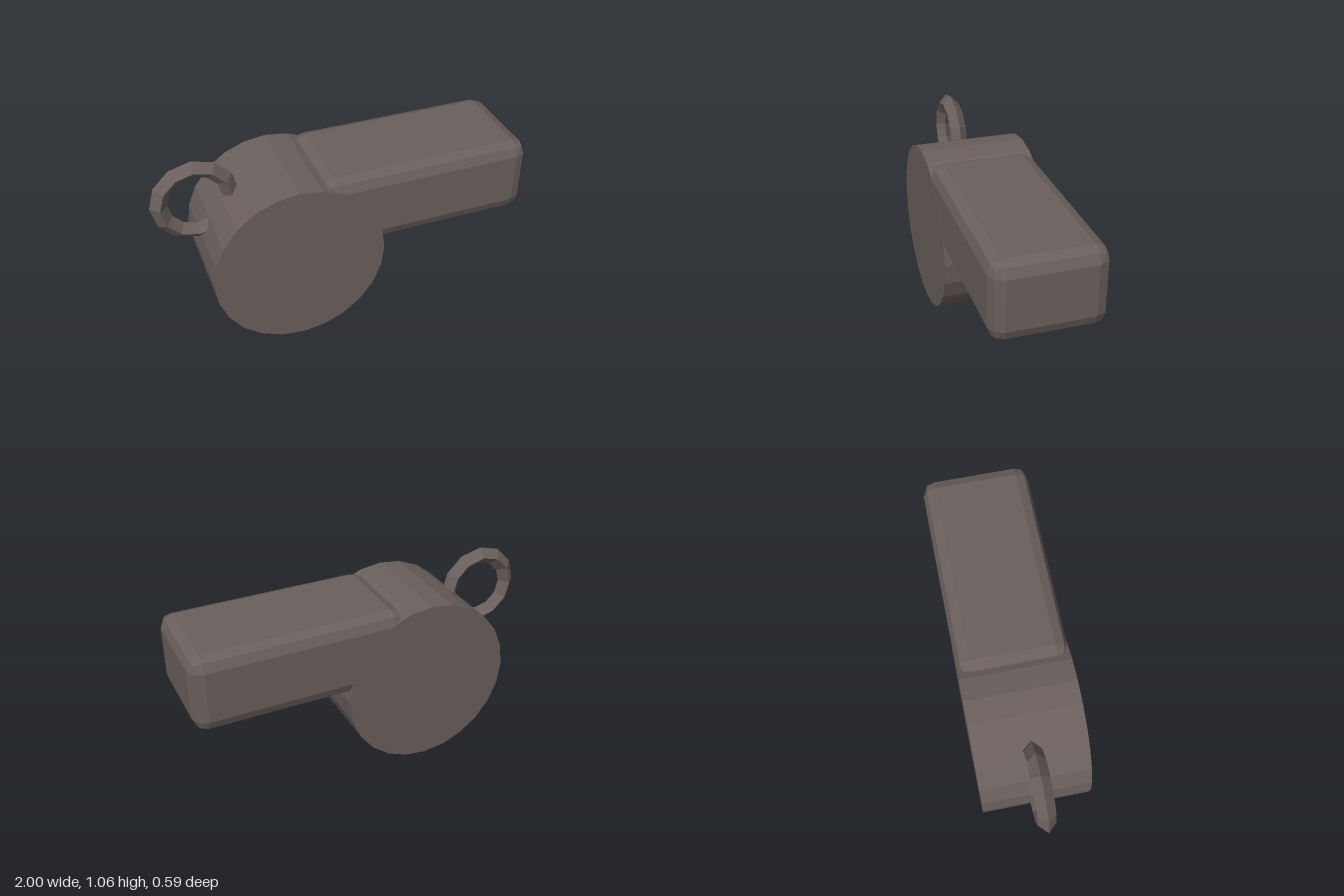
import * as THREE from 'three';
import { RoundedBoxGeometry } from 'three/addons/geometries/RoundedBoxGeometry.js';

export function createModel() {
  const group = new THREE.Group();
  group.name = 'whistle';

  const body = new THREE.MeshStandardMaterial({ color: 0x6a5f5c, flatShading: true });
  body.name = 'warm grey';

  const add = (name, geometry, x, y) => {
    const mesh = new THREE.Mesh(geometry, body);
    mesh.name = name;
    mesh.position.set(x, y, 0);
    group.add(mesh);
  };

  // Round air chamber, axis along z
  add('chamber', new THREE.CylinderGeometry(0.469, 0.469, 0.586, 24).rotateX(Math.PI / 2), -0.297, 0.471);

  // Bevelled mouthpiece running into the chamber
  add('mouthpiece', new RoundedBoxGeometry(1.16, 0.418, 0.585, 1, 0.07), 0.42, 0.732);

  // Lanyard ring with a diamond cross-section
  add('lanyardRing', new THREE.TorusGeometry(0.188, 0.047, 4, 12), -0.765, 0.826);

  return group;
}
